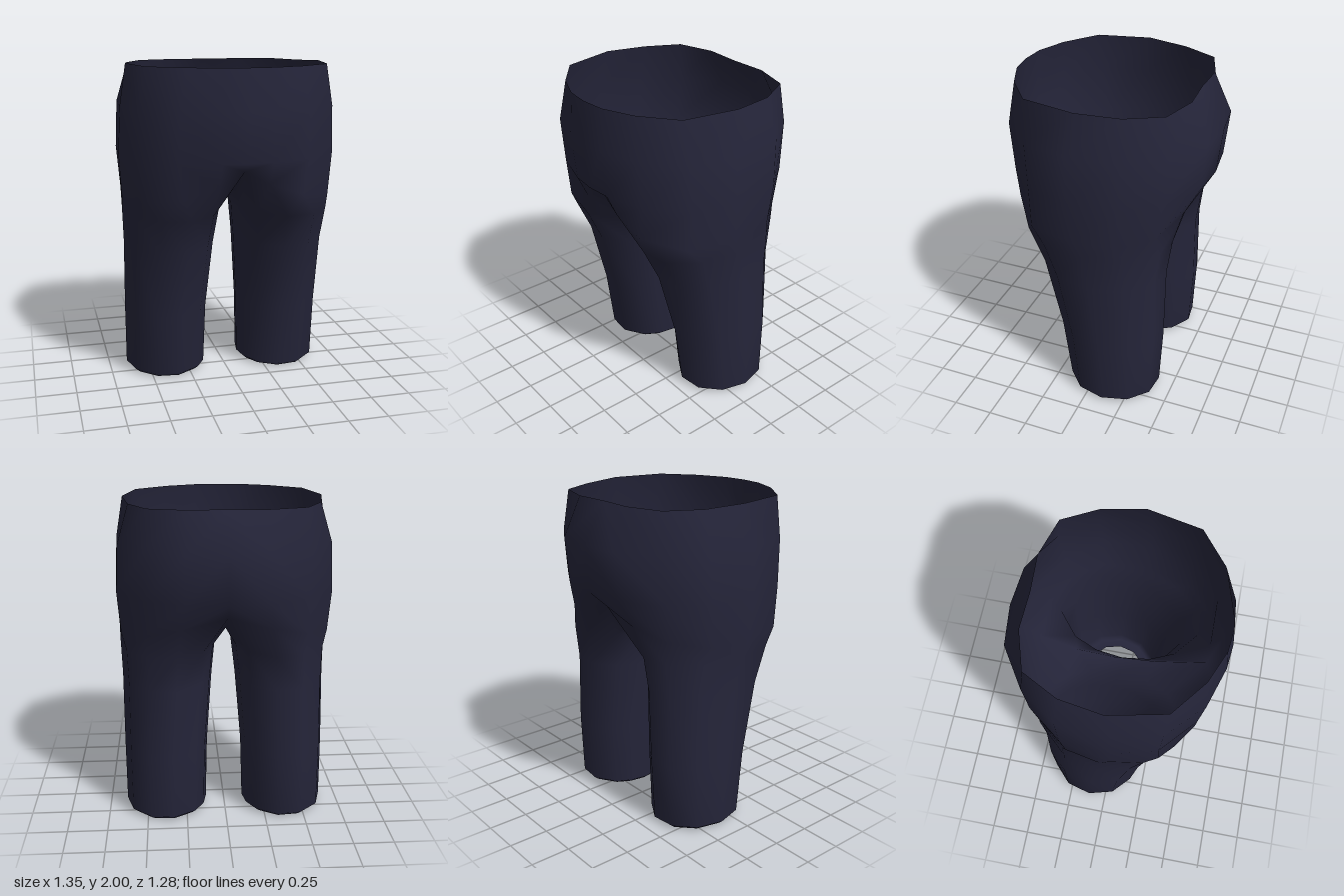
import * as THREE from 'three';
import { mergeVertices } from 'three/addons/utils/BufferGeometryUtils.js';

// Pelvis half-ring from front centre, around the side, to back centre: [x, z]
const waist = [[0, .615], [.15, .6], [.34, .52], [.545, .36], [.615, .03], [.57, -.23], [.46, -.44], [.23, -.51], [0, -.5]];
const hips = [[0, .64], [.15, .625], [.39, .55], [.6, .35], [.67, .07], [.65, -.25], [.49, -.47], [.25, -.62], [0, -.645]];

// Closed ring where pelvis meets leg; the last three points are the crotch seam: [x, y, z]
const crotch = [
  [0, 1.4, .52], [.15, 1.32, .53], [.36, 1.25, .52], [.58, 1.2, .34], [.66, 1.2, .05], [.635, 1.2, -.22],
  [.49, 1.23, -.41], [.27, 1.29, -.5], [0, 1.36, -.5],
  [0, 1.24, -.28], [0, 1.22, -.05], [0, 1.27, .22],
];

// Leg rings: y, inner x, outer x, back z, front z
const legLevels = [
  [1.1, .05, .655, -.46, .455],
  [.88, .075, .645, -.43, .35],
  [.43, .11, .643, -.43, .235],
  [.025, .12, .64, -.41, .18],
  [0, .15, .61, -.38, .15],
  [.006, .2, .55, -.31, .09], // turned-in hem
];

function legRing([y, x0, x1, z0, z1]) {
  return crotch.map((_, i) => {
    const degrees = i <= 8 ? -45 + i * 33.75 : 225 + (i - 8) * 22.5;
    const a = THREE.MathUtils.degToRad(degrees);
    return [(x0 + x1) / 2 + (x1 - x0) / 2 * Math.sin(a), y, (z0 + z1) / 2 + (z1 - z0) / 2 * Math.cos(a)];
  });
}

function trousersGeometry() {
  const pelvis = [
    waist.map(([x, z]) => [x, z > 0 ? 2 : 1.99, z]),
    hips.map(([x, z]) => [x * .985, 1.75, z]),
    hips.map(([x, z]) => [x * 1.008, 1.46, z * .95]),
  ];
  const rings = [...pelvis, crotch, ...legLevels.map(legRing)];
  const positions = [];
  const indices = [];

  for (const side of [1, -1]) {
    const starts = rings.map((ring) => {
      const start = positions.length / 3;
      ring.forEach(([x, y, z]) => positions.push(x * side, y, z));
      return start;
    });
    for (let r = 0; r < rings.length - 1; r++) {
      const n = rings[r].length;
      const count = n === 9 ? 8 : n; // pelvis halves are open at the centre line
      for (let i = 0; i < count; i++) {
        const j = (i + 1) % n;
        const a = starts[r] + i, b = starts[r] + j;
        const c = starts[r + 1] + i, d = starts[r + 1] + j;
        if (side > 0) indices.push(a, c, b, b, c, d);
        else indices.push(a, b, c, b, d, c);
      }
    }
  }

  const geometry = new THREE.BufferGeometry();
  geometry.setAttribute('position', new THREE.Float32BufferAttribute(positions, 3));
  geometry.setIndex(indices);
  const joined = mergeVertices(geometry, 1e-4); // joins the halves at the centre seam
  joined.computeVertexNormals();
  return joined;
}

export function createModel() {
  const navyCloth = new THREE.MeshStandardMaterial({ color: 0x25253a, side: THREE.DoubleSide });
  navyCloth.name = 'navyCloth';

  const model = new THREE.Group();
  model.name = 'trousers';
  const shell = new THREE.Mesh(trousersGeometry(), navyCloth);
  shell.name = 'trouserShell';
  model.add(shell);
  return model;
}
